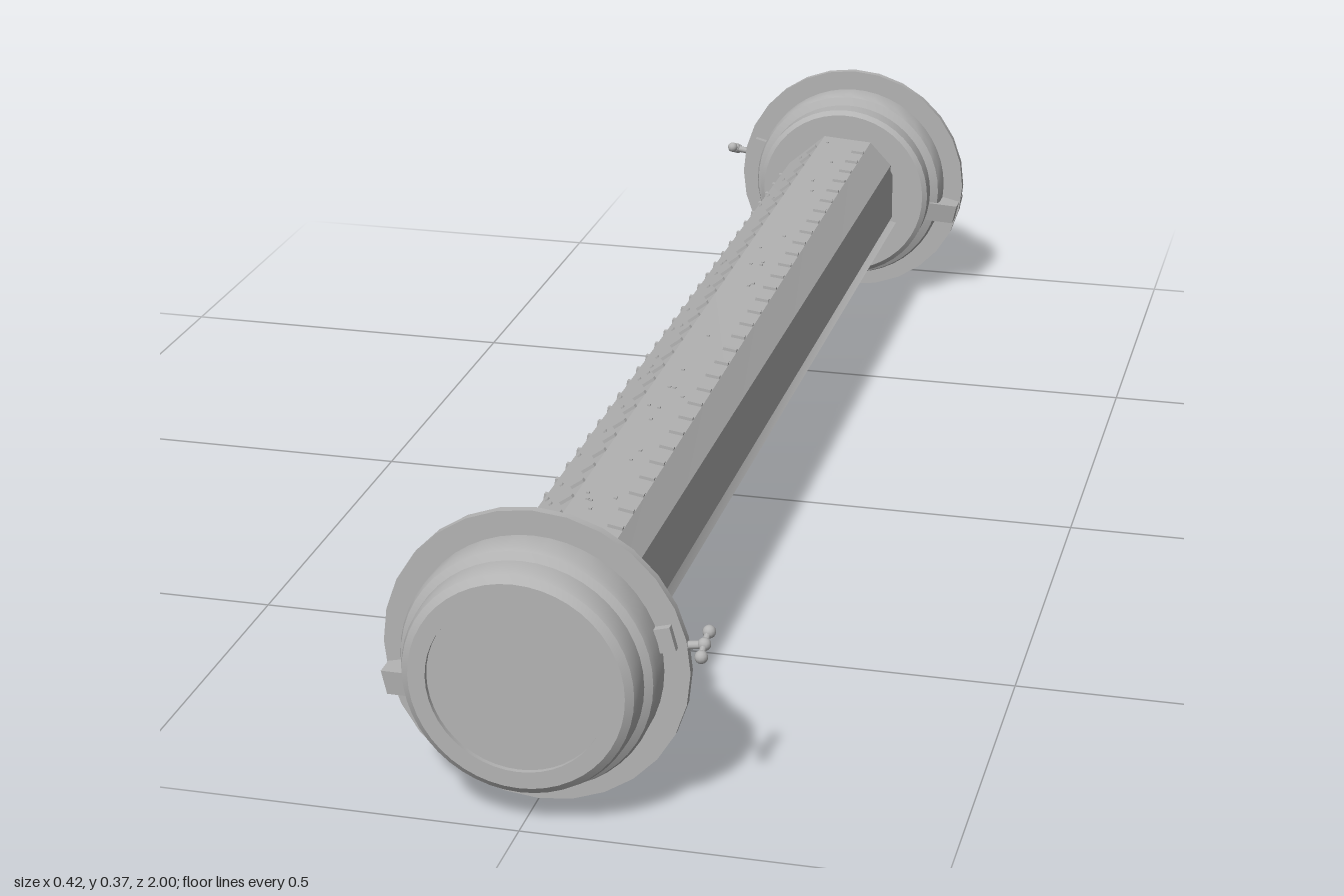
import * as THREE from 'three';
import { mergeGeometries, toCreasedNormals } from 'three/addons/utils/BufferGeometryUtils.js';

const AXIS_Y = 0.187, R = 0.1, HALF = 0.85;
const rad = THREE.MathUtils.degToRad;
const twistAt = z => -0.06 * (z / HALF); // slight twist of the tube along its length

export function createModel() {
  const metal = new THREE.MeshStandardMaterial({ color: 0xb4b4b4 });
  metal.name = 'grey metal';
  const model = new THREE.Group();
  model.name = 'tube container';

  function add(parent, name, geometry) {
    const mesh = new THREE.Mesh(geometry, metal);
    mesh.name = name;
    parent.add(mesh);
    return mesh;
  }
  const box = (w, h, d, x, y, z, rz = 0) =>
    new THREE.BoxGeometry(w, h, d).rotateZ(rz).translate(x, y, z);

  const body = new THREE.Group();
  body.name = 'body';
  body.position.y = AXIS_Y;
  model.add(body);

  // Eight-sided tube whose +x corner is cut away by a flat channel
  const corners = [60, 105, 150, 195, 240, 285, 330].map(a =>
    new THREE.Vector2(Math.cos(rad(a)) * R, Math.sin(rad(a)) * R));
  corners.push(new THREE.Vector2(0.079, -0.042), new THREE.Vector2(0.079, 0.053));
  let tube = new THREE.ExtrudeGeometry(new THREE.Shape(corners), {
    depth: HALF * 2, steps: 6, bevelEnabled: false
  }).translate(0, 0, -HALF);
  const p = tube.attributes.position;
  for (let i = 0; i < p.count; i++) {
    const x = p.getX(i), y = p.getY(i), z = p.getZ(i);
    if (Math.abs(x - 0.079) < 0.001) continue; // channel stays straight
    const t = twistAt(z), c = Math.cos(t), s = Math.sin(t);
    p.setXY(i, x * c - y * s, x * s + y * c);
  }
  tube.computeVertexNormals();
  add(body, 'tube', toCreasedNormals(tube, 0.3));

  // Block closing the front end of the channel
  const stop = new THREE.Shape([[0.05, -0.045], [0.09, -0.045], [0.1, 0.018], [0.078, 0.053], [0.05, 0.053]]
    .map(q => new THREE.Vector2(...q)));
  add(body, 'channelStop', new THREE.ExtrudeGeometry(stop, { depth: 0.1, bevelEnabled: false })
    .translate(0, 0, 0.74));

  // Ridge ticks and scattered studs on each of the six full facets
  const apothem = R * Math.cos(rad(22.5));
  const ticks = [], studs = [];
  let seed = 7;
  const random = () => (seed = (seed * 16807) % 2147483647) / 2147483647;
  for (let f = 0; f < 6; f++) {
    const mid = rad(60 + 45 * f + 22.5);
    for (let k = 0; k < 32; k++) {
      const z = -0.77 + k * 0.05;
      ticks.push(new THREE.BoxGeometry(0.008, 0.019, 0.007)
        .translate(apothem, -0.0285, z).rotateZ(mid + twistAt(z)));
    }
    for (let k = 0; k < 26; k++) {
      const z = -0.8 + random() * 1.6;
      studs.push(new THREE.BoxGeometry(0.004, 0.004, 0.005)
        .translate(apothem, -0.01 + random() * 0.04, z).rotateZ(mid + twistAt(z)));
    }
  }
  add(body, 'ridgeTicks', mergeGeometries(ticks));
  add(body, 'studs', mergeGeometries(studs));

  // Stepped end cap, profile as radius and z from back to front
  const profile = [
    [0.09, 0.832], [0.132, 0.832], [0.139, 0.838], [0.139, 0.866], [0.151, 0.872], [0.154, 0.88],
    [0.154, 0.95], [0.151, 0.958], [0.142, 0.964], [0.141, 0.985], [0.138, 0.993], [0.129, 1],
    [0.108, 1], [0.108, 0.994], [0, 0.994]
  ].map(q => new THREE.Vector2(...q));

  function makeCap(name) {
    const cap = new THREE.Group();
    cap.name = name;
    add(cap, 'capShell', toCreasedNormals(
      new THREE.LatheGeometry(profile, 48).rotateX(Math.PI / 2), 0.5));
    // Thin clamp flange
    add(cap, 'clampFlange', toCreasedNormals(
      new THREE.CylinderGeometry(0.185, 0.185, 0.011, 28).rotateX(Math.PI / 2).translate(0, 0, 0.914), 0.5));

    // Tapered hinge lug on the side opposite the screw
    const lugShape = new THREE.Shape([[-0.182, 0.882], [-0.182, 0.946], [-0.14, 0.964], [-0.14, 0.862]]
      .map(q => new THREE.Vector2(...q)));
    const lug = new THREE.ExtrudeGeometry(lugShape, { depth: 0.03, bevelEnabled: false })
      .rotateX(Math.PI / 2).translate(0, 0.015, 0);
    // Extrusion along y: shape height becomes z
    add(cap, 'hingeLug', lug.rotateZ(rad(13)));

    // Wing screw
    const screw = new THREE.Group();
    screw.name = 'wingScrew';
    screw.position.set(0.2, 0.037, 0.914);
    cap.add(screw);
    add(screw, 'shaft', new THREE.CylinderGeometry(0.005, 0.005, 0.06, 10)
      .rotateZ(Math.PI / 2 + 0.15).translate(-0.03, -0.005, 0));
    add(screw, 'hub', new THREE.SphereGeometry(0.008, 12, 8));
    for (const side of [-1, 1]) {
      const wing = new THREE.SphereGeometry(0.008, 12, 8);
      wing.translate(0.001, -side * 0.007, side * 0.019);
      add(screw, 'wing', wing);
    }
    add(screw, 'crossbar', new THREE.CylinderGeometry(0.004, 0.004, 0.04, 8)
      .rotateX(Math.PI / 2 + 0.35));
    // Clamp ear holding the screw
    add(cap, 'clampEar', box(0.03, 0.03, 0.03, 0.152, 0.042, 0.914, 0.26));
    cap.position.y = AXIS_Y;
    model.add(cap);
    return cap;
  }
  makeCap('frontCap');
  makeCap('backCap').rotation.y = Math.PI;

  return model;
}
